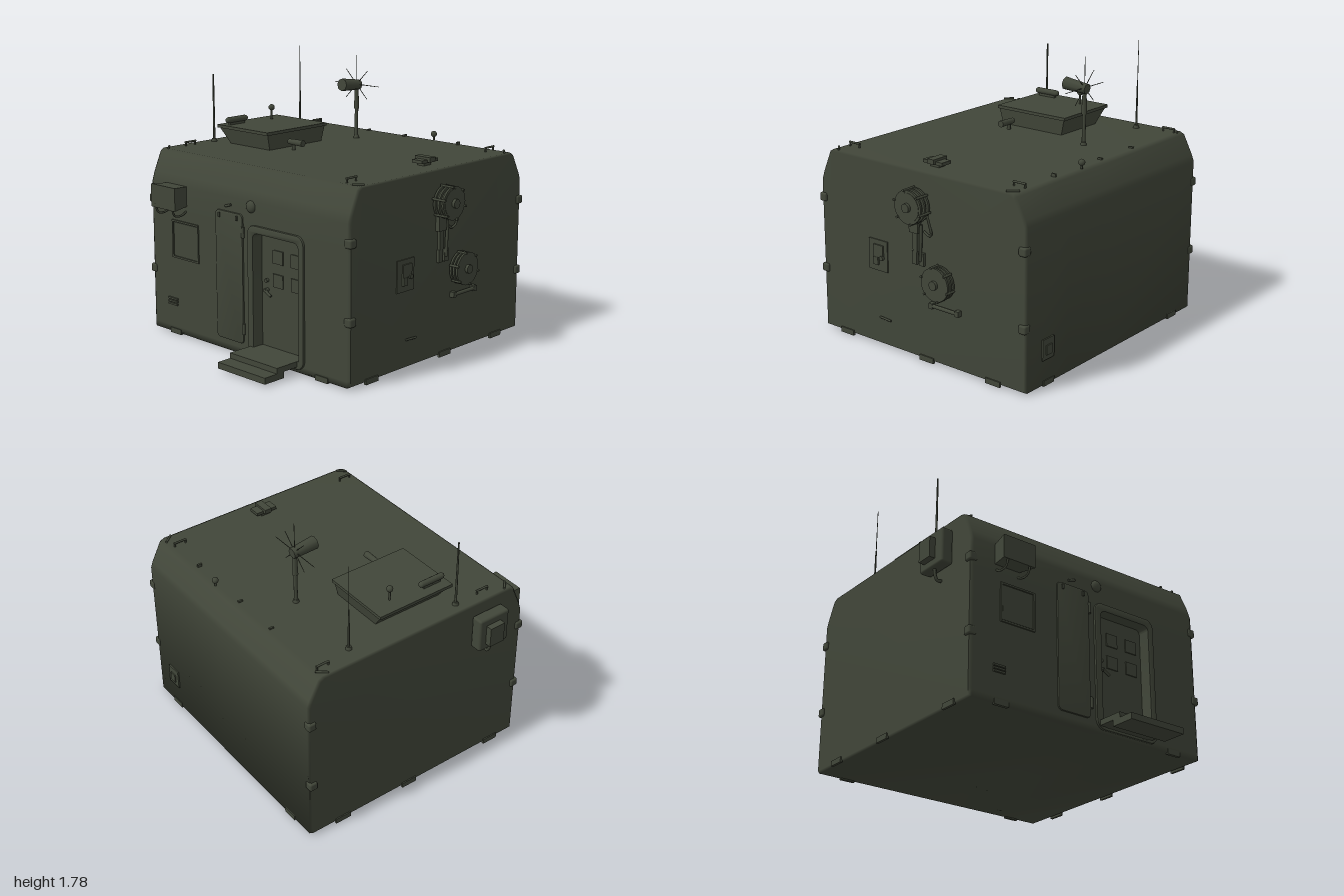
import * as THREE from 'three';
import { toCreasedNormals } from 'three/addons/utils/BufferGeometryUtils.js';
import { RoundedBoxGeometry } from 'three/addons/geometries/RoundedBoxGeometry.js';

const V = (x, y, z) => new THREE.Vector3(x, y, z);

export function createModel() {
  const model = new THREE.Group();
  model.name = 'shelter';
  const olive = new THREE.MeshStandardMaterial({ color: 0x414639 });
  olive.name = 'olive green';

  // Helpers
  const add = (name, geo, parent = model) => {
    const mesh = new THREE.Mesh(geo, olive);
    mesh.name = name;
    parent.add(mesh);
    return mesh;
  };
  const box = (name, x0, x1, y0, y1, z0, z1, parent) => {
    const mesh = add(name, new THREE.BoxGeometry(x1 - x0, y1 - y0, z1 - z0), parent);
    mesh.position.set((x0 + x1) / 2, (y0 + y1) / 2, (z0 + z1) / 2);
    return mesh;
  };
  const rod = (name, a, b, r0, r1 = r0, sides = 10, parent = model) => {
    const mesh = add(name, new THREE.CylinderGeometry(r1, r0, a.distanceTo(b), sides), parent);
    mesh.position.copy(a).lerp(b, 0.5);
    mesh.quaternion.setFromUnitVectors(V(0, 1, 0), b.clone().sub(a).normalize());
    return mesh;
  };
  const ball = (name, x, y, z, r) => {
    const mesh = add(name, new THREE.SphereGeometry(r, 14, 10));
    mesh.position.set(x, y, z);
    return mesh;
  };
  const tube = (name, points, r) =>
    add(name, new THREE.TubeGeometry(new THREE.CatmullRomCurve3(points), 20, r, 6));
  const roundRect = (T, x0, x1, y0, y1, r) => {
    const s = new T();
    s.moveTo(x0 + r, y0);
    s.lineTo(x1 - r, y0);
    s.absarc(x1 - r, y0 + r, r, -Math.PI / 2, 0);
    s.lineTo(x1, y1 - r);
    s.absarc(x1 - r, y1 - r, r, 0, Math.PI / 2);
    s.lineTo(x0 + r, y1);
    s.absarc(x0 + r, y1 - r, r, Math.PI / 2, Math.PI);
    s.lineTo(x0, y0 + r);
    s.absarc(x0 + r, y0 + r, r, Math.PI, Math.PI * 1.5);
    return s;
  };
  // Box whose top is larger or smaller than its bottom
  const taperBox = (w, h, d, sx, sz, shiftX = 0) => {
    const g = new THREE.BoxGeometry(w, h, d);
    const p = g.attributes.position;
    for (let i = 0; i < p.count; i++) {
      if (p.getY(i) > 0) p.setXYZ(i, p.getX(i) * sx + shiftX, p.getY(i), p.getZ(i) * sz);
    }
    g.computeVertexNormals();
    return g;
  };

  // Hull: side profile (z, y) swept along x, with a door opening in the front
  const profile = [[0.675, 0.01], [0.675, 0.05], [0.675, 0.82], [0.675, 1.0], [0.655, 1.06], [0.6, 1.185],
    [0.575, 1.2], [-0.85, 1.2], [-0.88, 1.185], [-0.945, 1.06], [-0.96, 1.02], [-0.96, 0.01]];
  const stations = [-0.88, -0.862, 0.08, 0.48, 0.862, 0.88];
  const n = profile.length;
  const last = stations.length - 1;
  const pos = [];
  const idx = [];
  stations.forEach((x, i) => {
    const s = i === 0 || i === last ? 0.985 : 1;
    profile.forEach(([z, y]) => pos.push(x, 0.6 + (y - 0.6) * s, -0.14 + (z + 0.14) * s));
  });
  for (let i = 0; i < last; i++) {
    for (let j = 0; j < n; j++) {
      if (i === 2 && j === 1) continue;
      const k = (j + 1) % n;
      const a = i * n + j, b = a + n, c = (i + 1) * n + k, d = i * n + k;
      idx.push(a, b, c, a, c, d);
    }
  }
  for (let j = 1; j < n - 1; j++) {
    idx.push(0, j, j + 1, last * n, last * n + j + 1, last * n + j);
  }
  const hull = new THREE.BufferGeometry();
  hull.setAttribute('position', new THREE.Float32BufferAttribute(pos, 3));
  hull.setIndex(idx);
  hull.computeVertexNormals();
  add('hull', hull);

  // Corner brackets and base pads
  for (const sx of [-1, 1]) {
    for (const z of [0.655, -0.94]) {
      for (const y of [0.88, 0.41]) {
        const b = add('cornerBracket', new RoundedBoxGeometry(0.055, 0.055, 0.055, 2, 0.012));
        b.position.set(sx * 0.867, y, z);
      }
    }
    for (const z of [0.48, -0.2, -0.72]) box('sidePad', sx * 0.88 - 0.008, sx * 0.88 + 0.008, 0, 0.035, z - 0.055, z + 0.055);
    for (const z of [0.67, -0.955]) box('endPad', sx * 0.66 - 0.05, sx * 0.66 + 0.05, 0, 0.035, z - 0.01, z + 0.01);
  }

  // Doorway: rounded frame, recessed inner door with panes, threshold
  const frameShape = roundRect(THREE.Shape, 0.04, 0.52, 0.03, 0.86, 0.06);
  frameShape.holes.push(roundRect(THREE.Path, 0.09, 0.475, 0.05, 0.81, 0.035));
  const frame = add('doorFrame', toCreasedNormals(new THREE.ExtrudeGeometry(frameShape, {
    depth: 0.075, bevelEnabled: true, bevelThickness: 0.01, bevelSize: 0.008, bevelOffset: -0.008, bevelSegments: 2, curveSegments: 6 }), 0.7));
  frame.position.z = 0.605;
  box('innerDoor', 0.06, 0.5, 0.04, 0.84, 0.59, 0.61);
  box('threshold', 0.07, 0.49, 0.05, 0.085, 0.6, 0.69);
  for (const x of [0.235, 0.39]) for (const y of [0.67, 0.52]) box('doorPane', x - 0.043, x + 0.043, y - 0.042, y + 0.042, 0.609, 0.618);
  rod('doorHandle', V(0.14, 0.45, 0.635), V(0.19, 0.42, 0.635), 0.009);
  rod('handleStem', V(0.14, 0.45, 0.6), V(0.14, 0.45, 0.64), 0.012);
  rod('doorLatch', V(0.14, 0.51, 0.6), V(0.14, 0.51, 0.63), 0.012);

  // Open outer door leaf folded against the wall
  const leaf = add('doorLeaf', toCreasedNormals(new THREE.ExtrudeGeometry(
    roundRect(THREE.Shape, -0.25, -0.005, 0.08, 0.91, 0.03),
    { depth: 0.012, bevelThickness: 0.006, bevelSize: 0.006, bevelOffset: -0.006, bevelSegments: 2 }), 0.7));
  leaf.position.z = 0.668;
  for (const y of [0.18, 0.8]) rod('hinge', V(0, y - 0.035, 0.685), V(0, y + 0.035, 0.685), 0.01);
  for (const x of [-0.21, -0.05]) box('leafClip', x - 0.007, x + 0.007, 0.865, 0.895, 0.68, 0.695);
  rod('leafCatch', V(-0.16, 0.94, 0.68), V(-0.11, 0.955, 0.68), 0.008);
  const lamp = ball('doorLamp', 0.065, 0.97, 0.675, 0.038);
  lamp.scale.z = 0.6;

  // Entry steps
  box('upperStep', 0.06, 0.47, 0.05, 0.085, 0.67, 0.86);
  box('lowerStep', 0.06, 0.47, 0.01, 0.05, 0.8, 0.96);

  // Flared front ventilation box
  const vent = add('frontVentBox', taperBox(0.18, 0.12, 0.13, 1.28, 1.15));
  vent.rotation.x = Math.PI / 2;
  vent.position.set(-0.62, 0.94, 0.735);
  for (const x of [-0.7, -0.54]) tube('ventBrace', [V(x, 0.89, 0.79), V(x, 0.83, 0.77), V(x, 0.82, 0.72), V(x, 0.84, 0.67)], 0.007);

  // Front access panel and louvre
  box('accessPanel', -0.655, -0.435, 0.535, 0.755, 0.67, 0.679);
  for (const y of [0.525, 0.765]) box('panelTrim', -0.67, -0.42, y - 0.006, y + 0.006, 0.67, 0.684);
  for (const x of [-0.665, -0.425]) box('panelTrim', x - 0.006, x + 0.006, 0.52, 0.77, 0.67, 0.684);
  for (let i = 0; i < 3; i++) box('louvre', -0.72, -0.635, 0.195 + i * 0.018, 0.207 + i * 0.018, 0.67, 0.687);

  // Air unit on the other side wall
  const unit = add('airUnit', new RoundedBoxGeometry(0.08, 0.23, 0.23, 2, 0.015));
  unit.position.set(-0.92, 1.01, 0.375);
  box('airUnitIntake', -1, -0.95, 0.94, 1.075, 0.31, 0.42);
  tube('airUnitHose', [V(-0.93, 0.91, 0.375), V(-0.925, 0.86, 0.375), V(-0.91, 0.83, 0.375), V(-0.88, 0.83, 0.375)], 0.01);

  // Cable reels on the side wall
  const reel = (y, z, depth) => {
    const g = new THREE.Group();
    g.name = 'cableReel';
    model.add(g);
    const disc = (name, x0, x1, r) => rod(name, V(x0, y, z), V(x1, y, z), r, r, 28, g);
    disc('reelMount', 0.87, 0.895, 0.07);
    disc('reelDrum', 0.89, 0.87 + depth, 0.09);
    for (const t of [0.25, 0.55, 0.85]) disc('reelFlange', 0.87 + depth * t, 0.884 + depth * t, 0.105);
    disc('reelHub', 0.87 + depth, 0.89 + depth, 0.028);
    for (let i = 0; i < 6; i++) {
      const a = i * Math.PI / 3 + 0.3;
      const cy = y + 0.105 * Math.sin(a), cz = z + 0.105 * Math.cos(a);
      rod('reelBolt', V(0.89, cy, cz), V(0.88 + depth, cy, cz), 0.008, 0.008, 8, g);
    }
  };
  reel(1.0, -0.15, 0.11);
  reel(0.55, -0.33, 0.08);
  box('reelBracket', 0.875, 0.91, 0.82, 0.92, -0.165, -0.095);
  box('reelStrap', 0.875, 0.9, 0.7, 0.84, -0.15, -0.115);
  for (const z of [-0.12, -0.175]) box('crankClamp', 0.875, 0.9, 0.62, 0.7, z - 0.024, z + 0.012);
  rod('crankArm', V(0.9, 0.65, -0.175), V(0.9, 0.88, -0.185), 0.01);
  tube('cableLoop', [V(0.92, 0.96, -0.25), V(0.91, 0.9, -0.26), V(0.9, 0.84, -0.265), V(0.89, 0.82, -0.24), V(0.89, 0.84, -0.2)], 0.008);
  rod('crankBar', V(0.9, 0.387, -0.25), V(0.9, 0.387, -0.475), 0.012);
  for (const z of [-0.26, -0.465]) box('crankBarMount', 0.875, 0.912, 0.37, 0.405, z - 0.014, z + 0.014);

  // Connector panels on the side and back walls
  box('connectorPanel', 0.875, 0.887, 0.5, 0.7, 0.11, 0.265);
  box('connectorCover', 0.885, 0.897, 0.59, 0.67, 0.14, 0.22);
  box('connectorSocket', 0.885, 0.9, 0.54, 0.59, 0.18, 0.22);
  rod('connectorKnob', V(0.885, 0.59, 0.15), V(0.905, 0.59, 0.15), 0.015);
  rod('sideHandle', V(0.89, 0.195, 0.18), V(0.89, 0.19, 0.09), 0.007);
  box('backPanel', 0.62, 0.73, 0.17, 0.3, -0.97, -0.955);
  box('backPanelCover', 0.65, 0.7, 0.2, 0.26, -0.978, -0.965);

  // Roof hatch with overhanging lid and its fittings
  const hatch = add('hatchBase', taperBox(0.37, 0.1, 0.48, 1.23, 1.1, -0.035));
  hatch.position.set(-0.48, 1.25, -0.075);
  box('hatchLid', -0.755, -0.28, 1.3, 1.32, -0.35, 0.2);
  const pod = add('hatchPod', new THREE.CapsuleGeometry(0.02, 0.15, 4, 10));
  pod.rotation.x = Math.PI / 2;
  pod.position.set(-0.68, 1.352, 0.095);
  box('podMount', -0.69, -0.67, 1.315, 1.345, 0.03, 0.16);
  for (const [x, y0, y1, z] of [[-0.65, 1.32, 1.4, -0.2], [0.23, 1.2, 1.24, -0.86]]) {
    rod('beaconPost', V(x, y0, z), V(x, y1, z), 0.007);
    ball('beacon', x, y1, z, 0.021);
  }

  // Whip antennas
  rod('frontAntenna', V(-0.8, 1.2, 0.19), V(-0.8, 1.65, 0.19), 0.008, 0.005, 8);
  rod('rearAntennaBase', V(-0.755, 1.2, -0.58), V(-0.755, 1.48, -0.58), 0.007, 0.005, 8);
  rod('rearAntennaTip', V(-0.755, 1.48, -0.58), V(-0.755, 1.78, -0.58), 0.003, 0.002, 6);
  for (const [x, z] of [[-0.8, 0.19], [-0.755, -0.58], [-0.2, -0.56]]) rod('antennaFoot', V(x, 1.195, z), V(x, 1.22, z), 0.022, 0.015, 12);

  // Sensor mast with radial spokes
  rod('mastLower', V(-0.2, 1.2, -0.56), V(-0.2, 1.41, -0.56), 0.012);
  rod('mastUpper', V(-0.2, 1.4, -0.56), V(-0.2, 1.56, -0.56), 0.018, 0.012);
  const head = rod('sensorHead', V(-0.2, 1.575, -0.415), V(-0.2, 1.56, -0.58), 0.042, 0.034, 8);
  head.name = 'sensorHead';
  for (let i = 0; i < 8; i++) {
    const a = i * Math.PI / 4;
    const r = i % 2 ? 0.135 : 0.197;
    rod('spoke', V(-0.2, 1.565, -0.56), V(-0.2 + r * Math.cos(a), 1.565 + r * Math.sin(a), -0.56), 0.003, 0.002, 6);
  }

  // Small roof fittings
  rod('roofLight', V(-0.24, 1.25, 0.04), V(-0.115, 1.25, 0.04), 0.018, 0.022, 12);
  rod('roofLightPost', V(-0.2, 1.19, 0.04), V(-0.2, 1.25, 0.04), 0.012);
  box('roofVentCap', 0.67, 0.79, 1.225, 1.255, -0.19, -0.14);
  box('roofVentPlate', 0.69, 0.77, 1.22, 1.24, -0.24, -0.09);
  box('roofVentNeck', 0.7, 0.75, 1.19, 1.23, -0.2, -0.13);

  // Roof grab handles, eye bolts and corner tie bars
  for (const [x, z] of [[-0.8, 0.4], [0.74, 0.51], [-0.8, -0.8], [0.74, -0.8]]) {
    rod('roofHandle', V(x, 1.225, z - 0.045), V(x, 1.225, z + 0.045), 0.007);
    for (const s of [-0.04, 0.04]) rod('handleLeg', V(x, 1.19, z + s), V(x, 1.225, z + s), 0.006);
  }
  for (const sx of [-1, 1]) {
    for (const [z0, z1] of [[-0.8, -0.86], [0.53, 0.58]]) rod('cornerTie', V(sx * 0.81, 1.205, z1), V(sx * 0.86, 1.205, z0), 0.007);
  }
  for (const [x, h] of [[-0.33, 0.01], [0, 0.012], [0.46, 0.02]]) box('eyeBolt', x - 0.006, x + 0.006, 1.19, 1.2 + h, -0.845, -0.815);

  return model;
}
